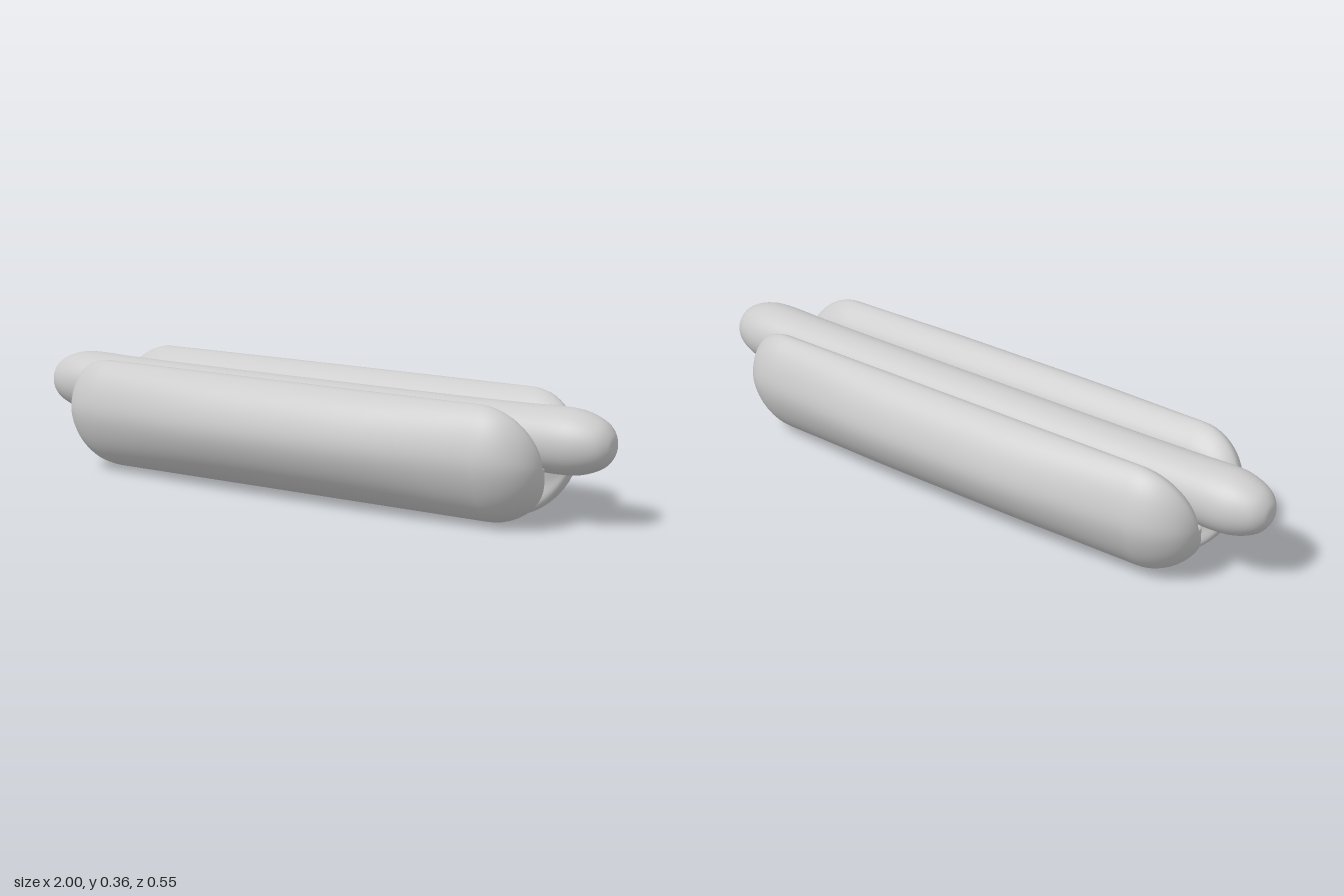
import * as THREE from 'three';

const material = new THREE.MeshStandardMaterial({ color: 0xcccccc });

// Cross-section of one bun half as (z, y): underside, outer side, lip, groove, seam
const outline = new THREE.CatmullRomCurve3([
  [0, 0.012], [0.045, 0.002], [0.11, 0.012], [0.195, 0.058], [0.25, 0.125], [0.275, 0.2],
  [0.26, 0.272], [0.222, 0.33], [0.172, 0.36], [0.143, 0.354], [0.09, 0.297],
  [0.085, 0.235], [0.05, 0.18], [0, 0.16], [0, 0.085],
].map(([z, y]) => new THREE.Vector3(0, y, z)), true, 'centripetal');

function bunHalfGeometry() {
  const ring = outline.getSpacedPoints(72).slice(0, -1);
  const n = ring.length;
  const shoulder = 0.66, tip = 0.83;
  const centerY = 0.185, centerZ = 0.105;

  // Stations along the length: straight middle and quarter-round ends
  const stations = [];
  for (let i = 14; i >= 0; i--) {
    const a = (i / 14) * Math.PI / 2;
    stations.push([-shoulder - (tip - shoulder) * Math.sin(a), Math.max(Math.cos(a), 0.001)]);
  }
  for (let x = -0.55; x < 0.56; x += 0.11) stations.push([x, 1]);
  for (let i = 0; i <= 14; i++) {
    const a = (i / 14) * Math.PI / 2;
    stations.push([shoulder + (tip - shoulder) * Math.sin(a), Math.max(Math.cos(a), 0.001)]);
  }

  const positions = [], index = [];
  stations.forEach(([x, f], j) => {
    // The outer side narrows gently toward the ends
    const taper = 0.24 * THREE.MathUtils.clamp((Math.abs(x) - 0.27) / 0.39, 0, 1);
    ring.forEach((p, i) => {
      const z = p.z - Math.max(p.z - 0.15, 0) * taper;
      positions.push(x, centerY + (p.y - centerY) * f, centerZ + (z - centerZ) * f);
      if (j < stations.length - 1) {
        const k = (i + 1) % n;
        const a = j * n + i, b = a + n, c = (j + 1) * n + k, d = j * n + k;
        index.push(a, b, c, a, c, d);
      }
    });
  });
  const geometry = new THREE.BufferGeometry();
  geometry.setAttribute('position', new THREE.Float32BufferAttribute(positions, 3));
  geometry.setIndex(index);
  geometry.computeVertexNormals();
  return geometry;
}

function sausageGeometry() {
  const end = [[0, 1], [0.032, 0.996], [0.066, 0.968], [0.09, 0.91], [0.097, 0.84], [0.094, 0.7], [0.092, 0.4]];
  const profile = [
    ...end.map(([r, y]) => new THREE.Vector2(r, -y)),
    ...end.slice().reverse().map(([r, y]) => new THREE.Vector2(r, y)),
  ];
  const points = new THREE.SplineCurve(profile).getPoints(70);
  points.forEach((p) => { p.x = Math.max(p.x, 0); });
  return new THREE.LatheGeometry(points, 40);
}

export function createModel() {
  const model = new THREE.Group();
  model.name = 'hotDog';

  // Two bun halves, the back one turned round
  const half = bunHalfGeometry();
  ['bunFront', 'bunBack'].forEach((name, i) => {
    const bun = new THREE.Mesh(half, material);
    bun.name = name;
    bun.rotation.y = i * Math.PI;
    model.add(bun);
  });

  // Sausage lying in the groove and sticking out at both ends
  const sausage = new THREE.Mesh(sausageGeometry(), material);
  sausage.name = 'sausage';
  sausage.rotation.z = -Math.PI / 2;
  sausage.position.y = 0.25;
  model.add(sausage);

  return model;
}
